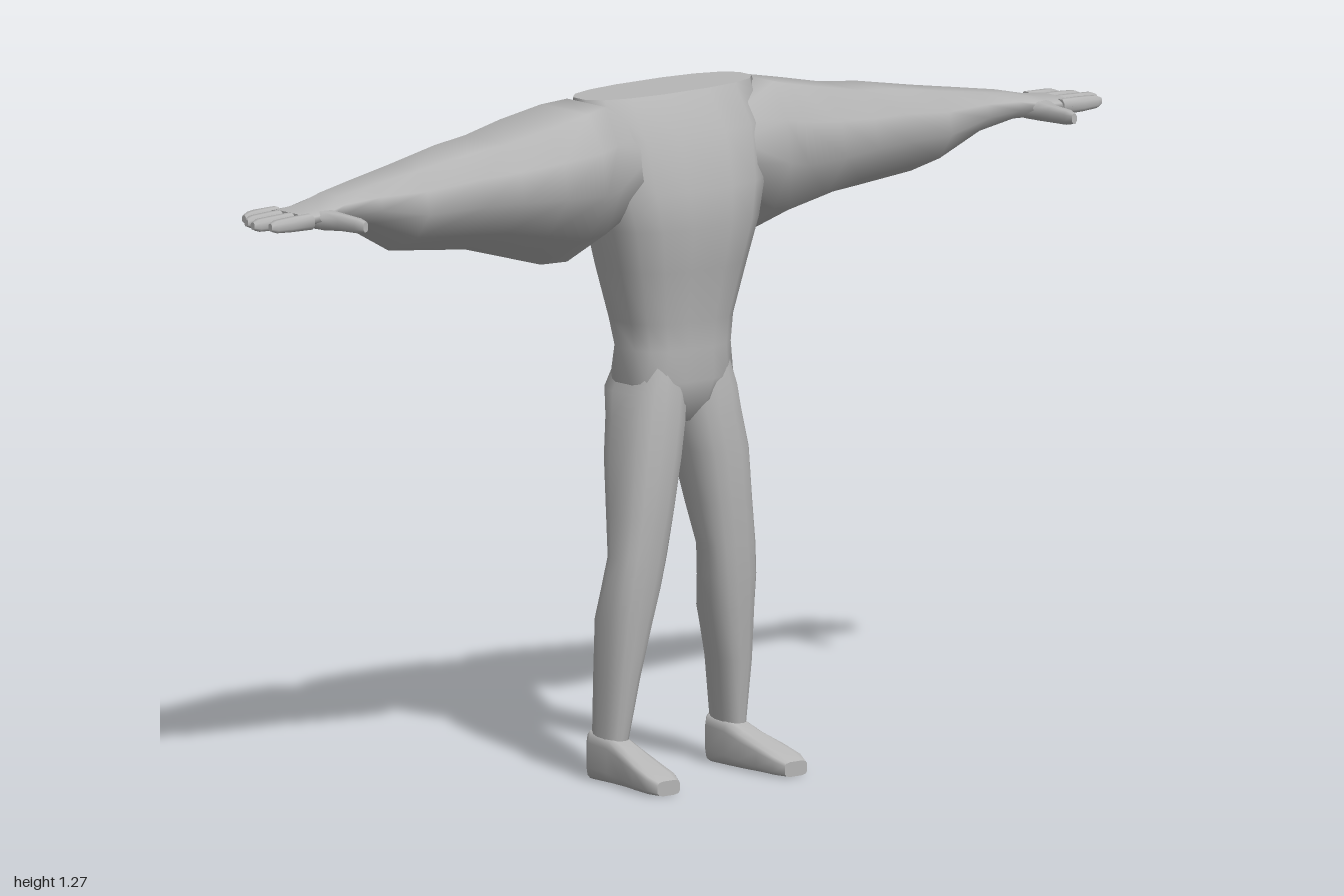
import * as THREE from 'three';

const skin = new THREE.MeshStandardMaterial({ color: 0xb6b6b6 });
skin.name = 'plain grey';

// Skins closed rings of [x, y, z] points; caps get their own vertices so their rims stay sharp.
function loft(name, rings) {
  const n = rings[0].length, pos = rings.flat(), idx = [];
  for (let r = 0; r < rings.length - 1; r++) {
    for (let i = 0; i < n; i++) {
      const a = r * n + i, b = r * n + (i + 1) % n;
      idx.push(a, b, a + n, b, b + n, a + n);
    }
  }
  [[rings[0], true], [rings[rings.length - 1], false]].forEach(([ring, flip]) => {
    const base = pos.length;
    pos.push(...ring);
    pos.push([0, 1, 2].map(k => ring.reduce((s, p) => s + p[k], 0) / n));
    for (let i = 0; i < n; i++) {
      const a = base + i, b = base + (i + 1) % n;
      if (flip) idx.push(b, a, base + n); else idx.push(a, b, base + n);
    }
  });
  // Turn the faces outward whichever way the rings run
  const v = pos.map(p => new THREE.Vector3(...p));
  let volume = 0;
  for (let i = 0; i < idx.length; i += 3) {
    volume += v[idx[i]].dot(v[idx[i + 1]].clone().cross(v[idx[i + 2]]));
  }
  if (volume < 0) idx.reverse();
  const g = new THREE.BufferGeometry();
  g.setAttribute('position', new THREE.Float32BufferAttribute(pos.flat(), 3));
  g.setIndex(idx);
  g.computeVertexNormals();
  const mesh = new THREE.Mesh(g, skin);
  mesh.name = name;
  return mesh;
}

// Rounded-box outline between two limits on each of two axes
function oval(a0, a1, b0, b1, n = 16, power = 0.8) {
  const soft = t => Math.sign(t) * Math.abs(t) ** power;
  return Array.from({ length: n }, (_, i) => {
    const t = (i + 0.5) / n * Math.PI * 2;
    return [(a0 + a1) / 2 + (a1 - a0) / 2 * soft(Math.cos(t)),
      (b0 + b1) / 2 + (b1 - b0) / 2 * soft(Math.sin(t))];
  });
}

// Ring lying level at height y
const levelRing = (y, x0, x1, z0, z1) => oval(x0, x1, z0, z1).map(([x, z]) => [x, y, z]);

// Angular upper-arm outline: [across back to front, bottom to top]
const armOutline = [[0.79, 1], [0.31, 1], [0.12, 0.82], [0, 0.52],
  [0.31, 0], [0.79, 0.22], [1, 0.52], [0.95, 0.78]];

function makeArm(side, s) {
  const arm = new THREE.Group();
  arm.name = side + 'Arm';

  // Shoulder to palm: x, top, bottom, front, back
  const sections = [
    [0.1, 1.21, 1.04, 0.08, -0.08],
    [0.2, 1.268, 0.965, 0.105, -0.125],
    [0.24, 1.258, 0.96, 0.112, -0.168],
    [0.33, 1.24, 0.985, 0.108, -0.177],
    [0.42, 1.222, 1.01, 0.092, -0.16],
    [0.5, 1.215, 1.02, 0.082, -0.14],
    [0.62, 1.195, 1.035, 0.06, -0.112],
    [0.72, 1.18, 1.088, 0.046, -0.09],
    [0.8, 1.168, 1.108, 0.04, -0.072],
    [0.86, 1.155, 1.112, 0.053, -0.066],
    [0.91, 1.15, 1.12, 0.056, -0.068],
  ];
  arm.add(loft('armAndPalm', sections.map(([x, top, bot, front, back]) =>
    armOutline.map(([u, v]) => [s * x, bot + (top - bot) * v, back + (front - back) * u]))));

  // Four fingers: z, tip x
  [[-0.054, 0.967], [-0.022, 0.988], [0.011, 1], [0.043, 0.985]].forEach(([z, tip], i) => {
    const rings = [[0.89, 0.014, 0.015], [0.94, 0.013, 0.014], [tip - 0.012, 0.011, 0.012], [tip, 0.006, 0.007]]
      .map(([x, w, h]) => oval(z - w, z + w, 1.136 - h, 1.136 + h, 8).map(([fz, y]) => [s * x, y, fz]));
    arm.add(loft('finger' + (i + 1), rings));
  });

  // Thumb pointing forward: z, x centre, half width, half height
  const thumb = [[0.01, 0.85, 0.035, 0.018], [0.05, 0.85, 0.025, 0.018], [0.08, 0.843, 0.014, 0.016],
    [0.125, 0.842, 0.012, 0.014], [0.143, 0.841, 0.006, 0.01]];
  arm.add(loft('thumb', thumb.map(([z, x, w, h]) =>
    oval(x - w, x + w, 1.134 - h, 1.134 + h, 8).map(([tx, y]) => [s * tx, y, z]))));
  return arm;
}

function makeLeg(side, s) {
  const leg = new THREE.Group();
  leg.name = side + 'Leg';

  // Hip to ankle: y, inner x, outer x, back z, front z
  const sections = [
    [0.78, 0.01, 0.1, -0.06, 0.075],
    [0.72, 0, 0.121, -0.081, 0.085],
    [0.67, 0.002, 0.13, -0.068, 0.086],
    [0.6, 0.016, 0.143, -0.055, 0.09],
    [0.5, 0.036, 0.15, -0.035, 0.086],
    [0.42, 0.052, 0.158, -0.015, 0.08],
    [0.36, 0.062, 0.165, -0.026, 0.075],
    [0.3, 0.074, 0.167, -0.043, 0.068],
    [0.2, 0.098, 0.166, -0.042, 0.056],
    [0.08, 0.117, 0.162, -0.044, 0.038],
  ];
  leg.add(loft('thighAndCalf', sections.map(([y, x0, x1, z0, z1]) =>
    levelRing(y, s * x0, s * x1, z0, z1))));

  // Heel to toe: z, inner x, outer x, top y
  const foot = [[-0.047, 0.122, 0.16, 0.09], [-0.035, 0.112, 0.166, 0.092], [0.02, 0.11, 0.168, 0.086],
    [0.06, 0.11, 0.172, 0.07], [0.11, 0.112, 0.182, 0.053], [0.155, 0.114, 0.186, 0.038], [0.178, 0.124, 0.178, 0.028]];
  leg.add(loft('foot', foot.map(([z, x0, x1, top]) =>
    oval(x0, x1, 0, top, 12, 0.5).map(([x, y]) => [s * x, y, z]))));
  return leg;
}

export function createModel() {
  const model = new THREE.Group();
  model.name = 'headlessFigure';

  // Neckline to crotch: y, half width, back z, front z
  const torso = [
    [1.272, 0.2, -0.09, 0.045],
    [1.2, 0.2, -0.112, 0.096],
    [1.1, 0.188, -0.118, 0.12],
    [1.03, 0.168, -0.112, 0.124],
    [0.95, 0.145, -0.105, 0.11],
    [0.85, 0.117, -0.088, 0.092],
    [0.8, 0.11, -0.076, 0.09],
    [0.74, 0.119, -0.079, 0.088],
    [0.7, 0.085, -0.074, 0.08],
    [0.66, 0.02, -0.045, 0.05],
  ];
  model.add(loft('torso', torso.map(([y, w, z0, z1]) => levelRing(y, -w, w, z0, z1))));

  [['left', 1], ['right', -1]].forEach(([side, s]) => model.add(makeArm(side, s), makeLeg(side, s)));
  return model;
}
